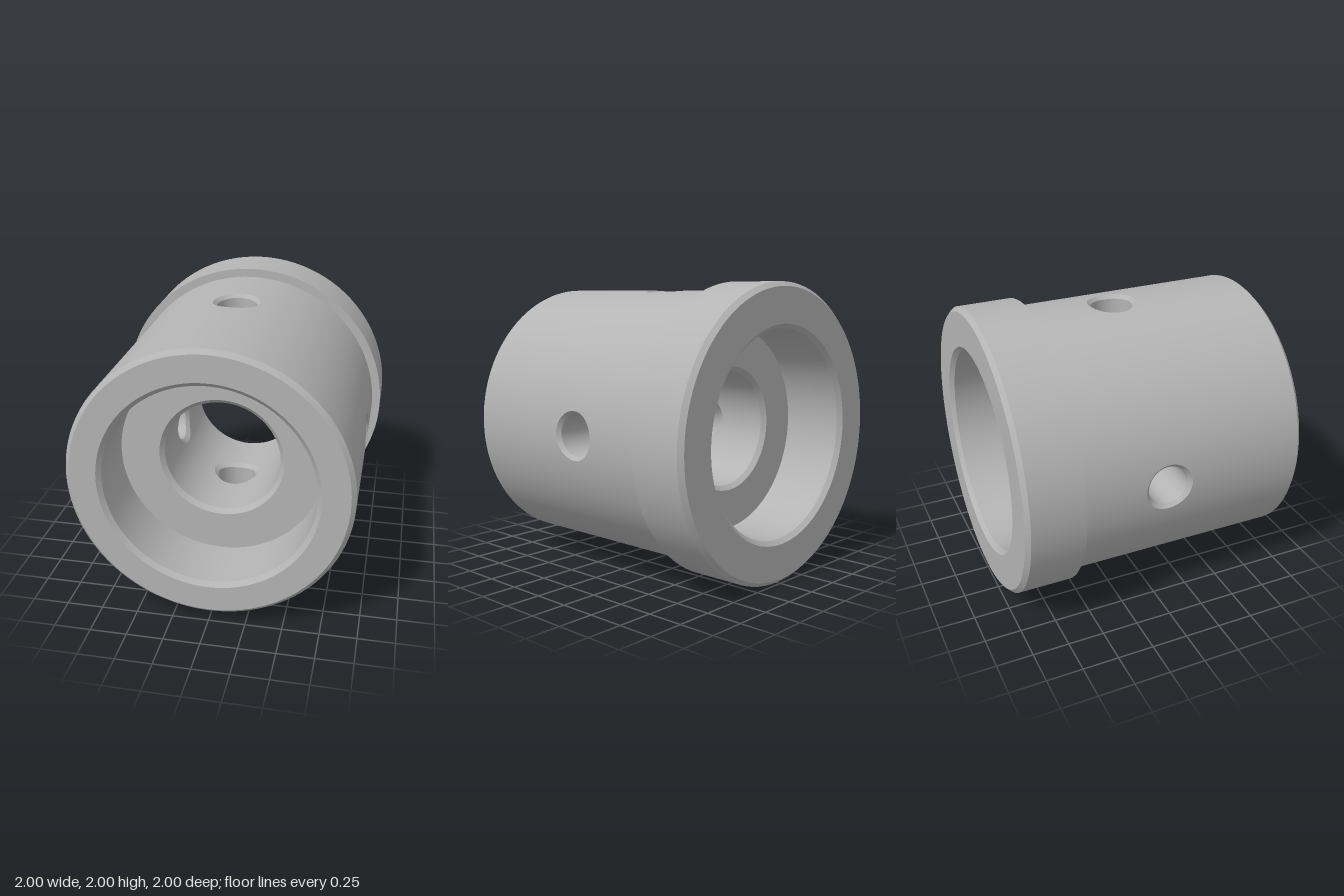
import * as THREE from 'three';

const SIDE = 24;               // steps per quarter turn
const OUTER = 0.94, BORE = 0.4, HOLE = 0.14, BEVEL = 0.025;

// Smooth surface from a grid; fn(s, j) returns [x, y, z, nx, ny, nz]
function gridSurface(rows, cols, fn, flip) {
  const pos = [], nor = [], idx = [];
  for (let i = 0; i <= rows; i++) {
    for (let j = 0; j <= cols; j++) {
      const v = fn(i / rows, j % cols);
      pos.push(v[0], v[1], v[2]);
      nor.push(v[3], v[4], v[5]);
      if (i === rows || j === cols) continue;
      const a = i * (cols + 1) + j, b = a + 1, c = a + cols + 1, d = c + 1;
      if (flip) idx.push(a, c, b, b, c, d);
      else idx.push(a, b, c, b, d, c);
    }
  }
  const g = new THREE.BufferGeometry();
  g.setAttribute('position', new THREE.Float32BufferAttribute(pos, 3));
  g.setAttribute('normal', new THREE.Float32BufferAttribute(nor, 3));
  g.setIndex(idx);
  return g;
}

// Point j on the rim of the square [-1, 1] x [-1, 1], counter-clockwise
function rimOfSquare(j) {
  const e = Math.floor(j / SIDE), f = -1 + 2 * (j % SIDE) / SIDE;
  return [[1, f], [-f, 1], [-1, -f], [f, -1]][e];
}
const angleAt = (j) => {
  const [p, q] = rimOfSquare(j);
  return Math.atan2(q, p);
};

// Quarter of a cylinder wall around +y, pierced by a round hole
function piercedWall(R, z0, z1, a, inward) {
  const sign = inward ? -1 : 1;
  return gridSurface(14, SIDE * 4, (s, j) => {
    const [p, q] = rimOfSquare(j), t = angleAt(j);
    const u = THREE.MathUtils.lerp(Math.asin(a * Math.cos(t) / R), p * Math.PI / 4, s);
    const z = THREE.MathUtils.lerp(a * Math.sin(t), q > 0 ? q * z1 : -q * z0, s);
    const x = Math.sin(u), y = Math.cos(u);
    return [R * x, R * y, z, sign * x, sign * y, 0];
  }, inward);
}

// Band of a radial hole; each end is [hole radius, wall radius, offset from wall]
function holeBand(from, to, slope) {
  const n = Math.hypot(1, slope);
  return gridSurface(1, SIDE * 4, (s, j) => {
    const t = angleAt(j), [a, R, off] = s < 0.5 ? from : to;
    const c = Math.cos(t), k = Math.sin(t);
    const y = Math.sqrt(R * R - a * a * c * c) + off;
    return [a * c, y, a * k, -c / n, slope / n, -k / n];
  }, true);
}

export function createModel() {
  const model = new THREE.Group();
  model.name = 'flangedBushing';
  const metal = new THREE.MeshStandardMaterial({ color: 0xb4b4b4 });
  metal.name = 'greyMetal';

  const body = new THREE.Group();
  body.name = 'body';
  body.position.y = 1;
  model.add(body);
  const add = (name, geometry, parent = body) => {
    const mesh = new THREE.Mesh(geometry, metal);
    mesh.name = name;
    parent.add(mesh);
  };

  // Turned faces: one crisp ring per profile step, as [radius, z]
  const turned = (prefix, names, points) => names.forEach((name, i) => {
    const pair = [points[i], points[i + 1]].map((p) => new THREE.Vector2(...p));
    add(prefix + name, new THREE.LatheGeometry(pair, SIDE * 4).rotateX(Math.PI / 2));
  });
  turned('front', ['OuterChamfer', 'Face', 'InnerChamfer', 'Counterbore', 'Step', 'BoreChamfer'],
    [[OUTER, 0.97], [0.91, 1], [0.73, 1], [0.7, 0.97], [0.7, 0.55], [0.43, 0.55], [BORE, 0.52]]);
  turned('back', ['BoreChamfer', 'Step', 'Counterbore', 'InnerChamfer', 'Face',
    'FlangeChamfer', 'Flange', 'FlangeShoulder'],
    [[BORE, -0.52], [0.43, -0.55], [0.7, -0.55], [0.7, -0.97], [0.73, -1], [0.97, -1],
      [1, -0.97], [1, -0.6], [OUTER, -0.6]]);

  // Four matching quarters, each with a chamfered radial hole
  const wide = HOLE + BEVEL;
  const outerWall = piercedWall(OUTER, -0.6, 0.97, wide, false);
  const boreWall = piercedWall(BORE, -0.52, 0.52, wide, true);
  const outerBevel = holeBand([wide, OUTER, 0], [HOLE, OUTER, -BEVEL], 1);
  const holeWall = holeBand([HOLE, OUTER, -BEVEL], [HOLE, BORE, BEVEL], 0);
  const innerBevel = holeBand([HOLE, BORE, BEVEL], [wide, BORE, 0], -1);
  for (let i = 0; i < 4; i++) {
    const quarter = new THREE.Group();
    quarter.name = 'quarter' + (i + 1);
    quarter.rotation.z = i * Math.PI / 2;
    body.add(quarter);
    add('outerWall', outerWall, quarter);
    add('boreWall', boreWall, quarter);
    add('holeOuterChamfer', outerBevel, quarter);
    add('holeWall', holeWall, quarter);
    add('holeInnerChamfer', innerBevel, quarter);
  }
  return model;
}
